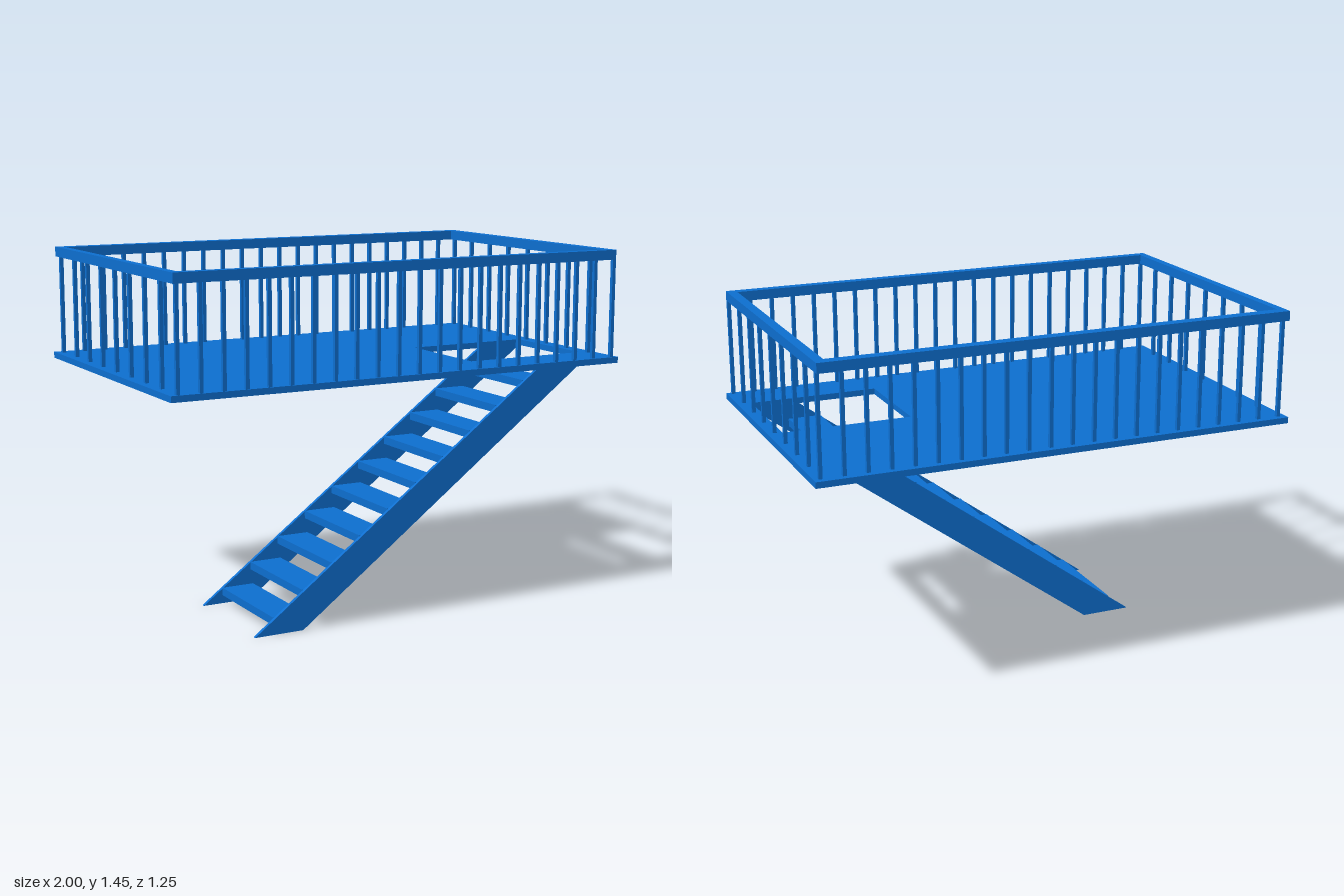
import * as THREE from 'three';

const material = new THREE.MeshStandardMaterial({ color: 0x0d6fd0 });

// Box given by its min and max on each axis
function box(name, [x0, x1], [y0, y1], [z0, z1]) {
  const mesh = new THREE.Mesh(new THREE.BoxGeometry(x1 - x0, y1 - y0, z1 - z0), material);
  mesh.position.set((x0 + x1) / 2, (y0 + y1) / 2, (z0 + z1) / 2);
  mesh.name = name;
  return mesh;
}

const points = (list) => list.map(([x, y]) => new THREE.Vector2(x, y));
const rect = (x0, x1, y0, y1) => points([[x0, y0], [x1, y0], [x1, y1], [x0, y1]]);

// Flat plate lying in xz, with a rectangular opening
function plate(name, outer, inner, y0, y1) {
  const shape = new THREE.Shape(outer);
  shape.holes.push(new THREE.Path(inner));
  const geometry = new THREE.ExtrudeGeometry(shape, { depth: y1 - y0, bevelEnabled: false });
  geometry.rotateX(-Math.PI / 2); // shape y becomes -z
  geometry.translate(0, y0, 0);
  const mesh = new THREE.Mesh(geometry, material);
  mesh.name = name;
  return mesh;
}

function createStairs() {
  const stairs = new THREE.Group();
  stairs.name = 'stairs';

  // Slanted side boards, cut level at floor and deck
  const profile = new THREE.Shape(points([[-0.6, 0], [-0.39, 0], [0.95, 0.985], [0.742, 0.985]]));
  for (const z of [-0.027, 0.456]) {
    const geometry = new THREE.ExtrudeGeometry(profile, { depth: 0.015, bevelEnabled: false });
    const stringer = new THREE.Mesh(geometry, material);
    stringer.position.z = z;
    stringer.name = 'stringer';
    stairs.add(stringer);
  }

  // Open treads
  for (let i = 0; i < 10; i++) {
    const x = -0.515 + i * 0.1283;
    const y = 0.034 + i * 0.0943;
    stairs.add(box('tread', [x, x + 0.14], [y, y + 0.032], [-0.012, 0.456]));
  }
  return stairs;
}

function createRailing() {
  const railing = new THREE.Group();
  railing.name = 'railing';
  railing.add(plate('handrail',
    rect(-0.983, 0.98, -0.618, 0.62), rect(-0.95, 0.94, -0.58, 0.575), 1.41, 1.45));

  const half = 0.0075;
  const baluster = (x, z) => railing.add(
    box('baluster', [x - half, x + half], [1.005, 1.415], [z - half, z + half]));

  // Front and back rows
  for (let i = 0; i < 22; i++) {
    const x = -0.968 + i * 0.0924;
    baluster(x, 0.61);
    baluster(x, -0.592);
  }
  // Side rows, between the corner posts
  for (let i = 1; i < 8; i++) {
    const z = 0.61 - i * 0.15;
    baluster(-0.965, z);
    baluster(0.968, z);
  }
  return railing;
}

export function createModel() {
  const model = new THREE.Group();
  model.name = 'raisedDeck';
  // Deck floor with the stair opening
  model.add(plate('deck',
    rect(-1, 1, -0.624, 0.624), rect(0.4, 0.94, -0.44, 0.005), 0.983, 1.008));
  model.add(createRailing(), createStairs());
  return model;
}
